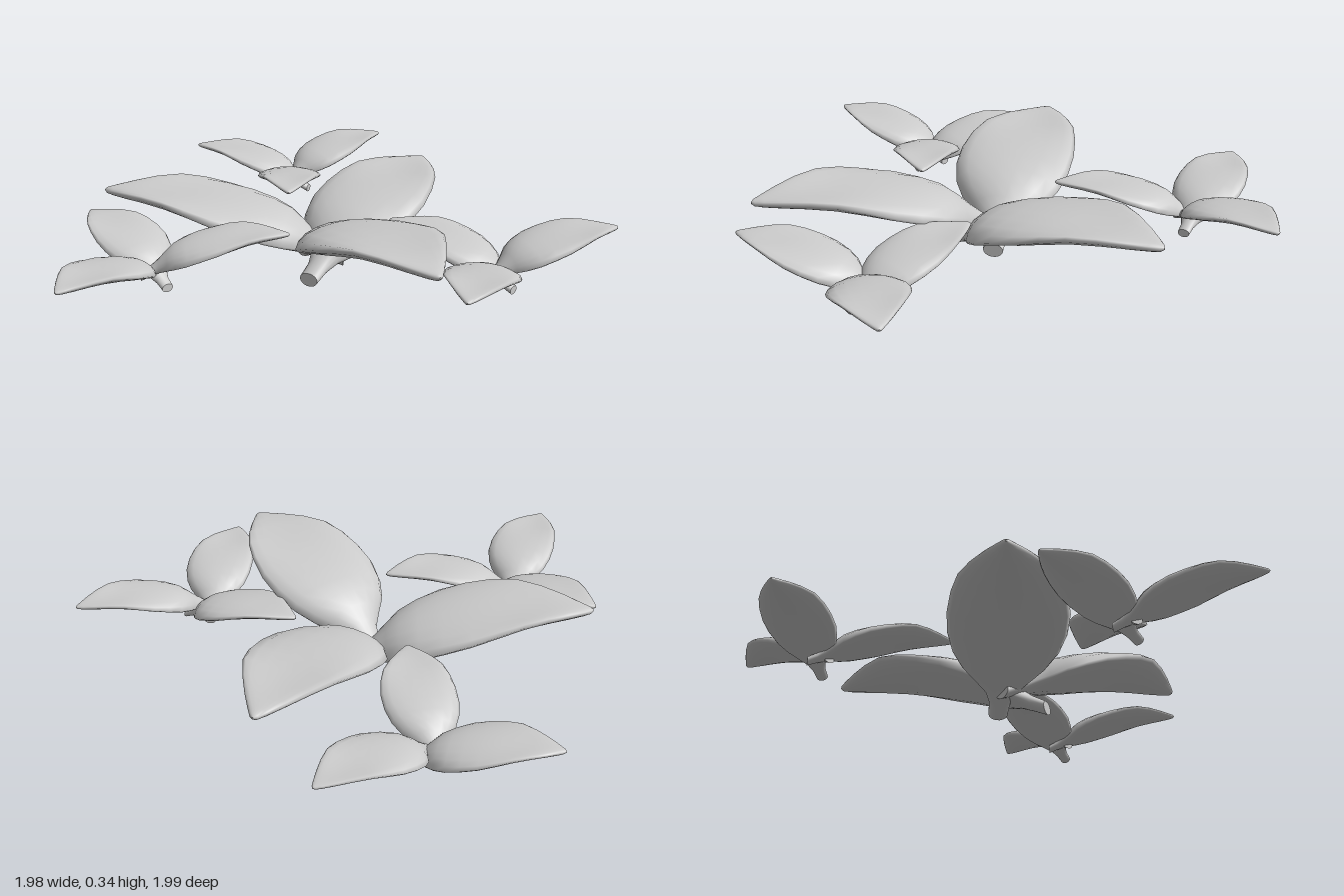
import * as THREE from 'three';

const SIDES = 18;
const LENGTH = 0.93;

// Leaf stations from cut stem to tip:
// [along, half width, midrib height, dome above, belly below, rise of margins]
const STATIONS = [
  [0, 0.038, 0.027, 0.025, 0.027, 0],
  [0.06, 0.042, 0.055, 0.032, 0.028, 0],
  [0.11, 0.063, 0.078, 0.05, 0.029, 0.002],
  [0.16, 0.11, 0.1, 0.075, 0.03, 0.004],
  [0.21, 0.16, 0.122, 0.09, 0.031, 0.008],
  [0.28, 0.2, 0.15, 0.088, 0.032, 0.01],
  [0.37, 0.224, 0.182, 0.075, 0.032, 0.015],
  [0.47, 0.227, 0.21, 0.06, 0.032, 0.02],
  [0.57, 0.211, 0.232, 0.045, 0.03, 0.03],
  [0.66, 0.182, 0.246, 0.032, 0.028, 0.037],
  [0.75, 0.134, 0.255, 0.028, 0.026, 0.028],
  [0.83, 0.083, 0.259, 0.024, 0.023, 0.015],
  [0.89, 0.04, 0.26, 0.018, 0.018, 0.005],
  [0.92, 0.017, 0.26, 0.012, 0.012, 0],
  [0.93, 0.003, 0.26, 0.004, 0.004, 0],
];

// Fleshy leaf along +z: domed at the base, cupped toward the tip, bowed sideways
function leafGeometry(bow) {
  const pos = [], index = [];
  const ring = ([s, w, y, dome, belly, cup]) => {
    const shift = bow * Math.sin(Math.PI * s / LENGTH);
    for (let j = 0; j < SIDES; j++) {
      const a = j / SIDES * Math.PI * 2, u = Math.cos(a), v = Math.sin(a);
      pos.push(shift + w * u, y + cup * u * u + (v > 0 ? dome : belly) * v, s);
    }
  };
  STATIONS.forEach(ring);
  for (let i = 0; i < STATIONS.length - 1; i++) {
    for (let j = 0; j < SIDES; j++) {
      const k = (j + 1) % SIDES;
      const a = i * SIDES + j, b = i * SIDES + k;
      index.push(a, b, a + SIDES, b, b + SIDES, a + SIDES);
    }
  }
  // Flat cut at the stem, and a closed tip
  const cap = (station, flip) => {
    const start = pos.length / 3;
    ring(station);
    pos.push(0, station[2], station[0]);
    for (let j = 0; j < SIDES; j++) {
      const a = start + j, b = start + (j + 1) % SIDES;
      index.push(start + SIDES, flip ? b : a, flip ? a : b);
    }
  };
  cap(STATIONS[0], true);
  cap(STATIONS[STATIONS.length - 1], false);
  const g = new THREE.BufferGeometry();
  g.setAttribute('position', new THREE.Float32BufferAttribute(pos, 3));
  g.setIndex(index);
  g.computeVertexNormals();
  return g;
}

// Lowest to highest leaf: stem and tip on the ground plane, lift, sideways bow
const LEAVES = [
  { name: 'lowerLeaf', stem: [-0.1, 0.112], tip: [0.7, -0.343], lift: 0, bow: -0.012 },
  { name: 'middleLeaf', stem: [0.1, 0.027], tip: [-0.66, -0.523], lift: 0.018, bow: 0.025 },
  { name: 'upperLeaf', stem: [-0.02, -0.045], tip: [-0.04, 0.867], lift: 0.052, bow: 0.01 },
];

// Sprigs: name, position, scale, turn in degrees
const SPRIGS = [
  ['largeSprig', [0.12, 0, 0.053], 1, 0],
  ['leftSmallSprig', [0.49, 0.077, 0.643], 0.585, 83],
  ['rightSmallSprig', [-0.573, 0.077, 0.053], 0.585, 70.5],
  ['backSmallSprig', [0.357, 0.077, -0.637], 0.58, 100.5],
];

export function createModel() {
  const model = new THREE.Group();
  model.name = 'leafSprigs';
  const material = new THREE.MeshStandardMaterial({ color: 0xcccccc });
  const geometries = LEAVES.map((leaf) => leafGeometry(leaf.bow));

  for (const [name, position, scale, turn] of SPRIGS) {
    const sprig = new THREE.Group();
    sprig.name = name;
    LEAVES.forEach(({ name: leafName, stem, tip, lift }, i) => {
      const dx = tip[0] - stem[0], dz = tip[1] - stem[1];
      const leaf = new THREE.Mesh(geometries[i], material);
      leaf.name = leafName;
      leaf.position.set(stem[0], lift, stem[1]);
      leaf.rotation.y = Math.atan2(dx, dz);
      leaf.scale.z = Math.hypot(dx, dz) / LENGTH;
      sprig.add(leaf);
    });
    sprig.position.set(...position);
    sprig.scale.setScalar(scale);
    sprig.rotation.y = THREE.MathUtils.degToRad(turn);
    model.add(sprig);
  }
  return model;
}
